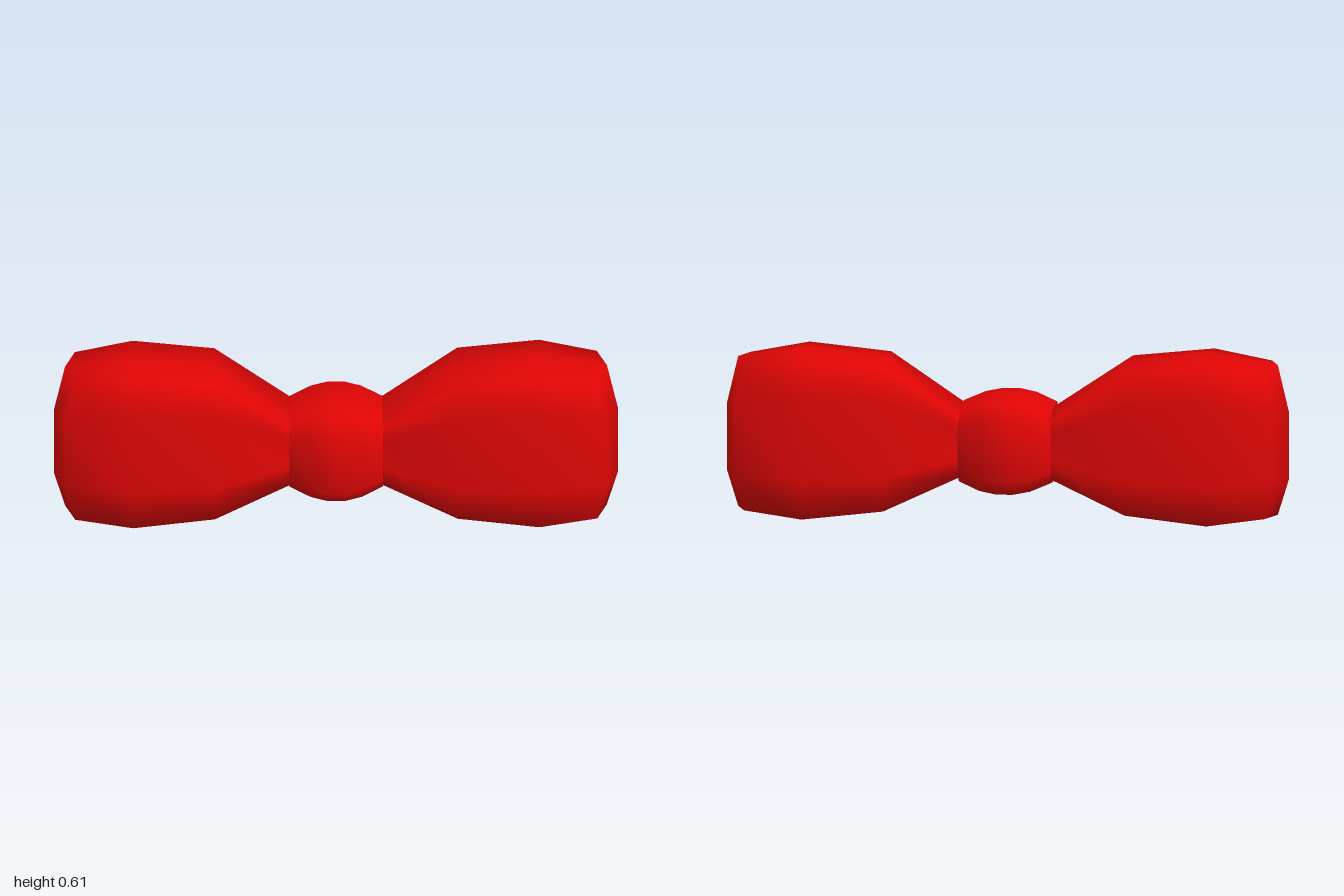
import * as THREE from 'three';
import { mergeVertices } from 'three/addons/utils/BufferGeometryUtils.js';

const KNOT_Y = 0.278;
const red = new THREE.MeshStandardMaterial({ color: 0xe00505, side: THREE.DoubleSide });

// Skin a row of rings of [x, y, z] points running towards +x, with smooth normals
function loft(rings) {
  const n = rings[0].length;
  const index = [];
  for (let i = 0; i < rings.length - 1; i++) {
    for (let j = 0; j < n; j++) {
      const a = i * n + j, b = i * n + (j + 1) % n;
      index.push(a, a + n, b, b, a + n, b + n);
    }
  }
  const geometry = new THREE.BufferGeometry();
  geometry.setAttribute('position', new THREE.Float32BufferAttribute(rings.flat(2), 3));
  geometry.setIndex(index);
  const merged = mergeVertices(geometry);
  merged.computeVertexNormals();
  return merged;
}

// Boxy section: corners, top and bottom middles, flat sides
function wingRing(side, [x, y, cornerX, cornerY, middleY, sideY, cornerZ, sideZ]) {
  return [
    [cornerX, cornerY, cornerZ], [x, middleY, 0], [cornerX, cornerY, -cornerZ], [x, sideY, -sideZ],
    [x, -sideY, -sideZ], [cornerX, -cornerY, -cornerZ], [x, -middleY, 0], [cornerX, -cornerY, cornerZ],
    [x, -sideY, sideZ], [x, sideY, sideZ],
  ].map(([px, py, pz]) => [side * px, y + py, pz - 0.003]);
}

// Rounded ten-point section of the knot
function knotRing([x, h, d]) {
  return [
    [0.92, 0.7], [1, 0], [0.92, -0.7], [0.6, -1], [-0.6, -1],
    [-0.92, -0.7], [-1, 0], [-0.92, 0.7], [-0.6, 1], [0.6, 1],
  ].map(([py, pz]) => [x, KNOT_Y + py * h, pz * d]);
}

function addMesh(group, geometry, name) {
  const mesh = new THREE.Mesh(geometry, red);
  mesh.name = name;
  group.add(mesh);
  return mesh;
}

export function createModel() {
  const group = new THREE.Group();
  group.name = 'bowTie';

  // Wings: pinched with folds at the knot, rounded corners, ending in an upright ridge
  const wingProfile = [
    [0.10, 0.278, 0.10, 0.09, 0.065, 0.04, 0.12, 0.085],
    [0.165, 0.28, 0.165, 0.11, 0.085, 0.05, 0.14, 0.113],
    [0.43, 0.307, 0.43, 0.258, 0.268, 0.14, 0.165, 0.183],
    [0.72, 0.305, 0.72, 0.29, 0.305, 0.15, 0.165, 0.183],
    [0.96, 0.30, 0.925, 0.258, 0.27, 0.13, 0.15, 0.163],
    [1.0, 0.28, 1.0, 0.12, 0.12, 0.12, 0, 0],
  ];
  for (const side of [1, -1]) {
    const rings = wingProfile.map((p) => wingRing(side, p));
    if (side < 0) rings.reverse();
    addMesh(group, loft(rings), side > 0 ? 'leftWing' : 'rightWing');
  }

  // Knot: a barrel that swells towards the middle
  const knotProfile = [
    [-0.165, 0.137, 0.158], [-0.09, 0.168, 0.195], [-0.03, 0.178, 0.217],
    [0.03, 0.178, 0.217], [0.09, 0.168, 0.195], [0.165, 0.137, 0.158],
  ];
  addMesh(group, loft(knotProfile.map(knotRing)), 'knot');

  // Flat ends of the knot, kept separate for a crisp rim
  const endShape = new THREE.Shape(
    knotRing(knotProfile[0]).map(([, y, z]) => new THREE.Vector2(z, y)));
  for (const side of [1, -1]) {
    const end = addMesh(group, new THREE.ShapeGeometry(endShape), side > 0 ? 'knotEndLeft' : 'knotEndRight');
    end.rotation.y = side * Math.PI / 2;
    end.position.x = side * 0.165;
  }
  return group;
}
